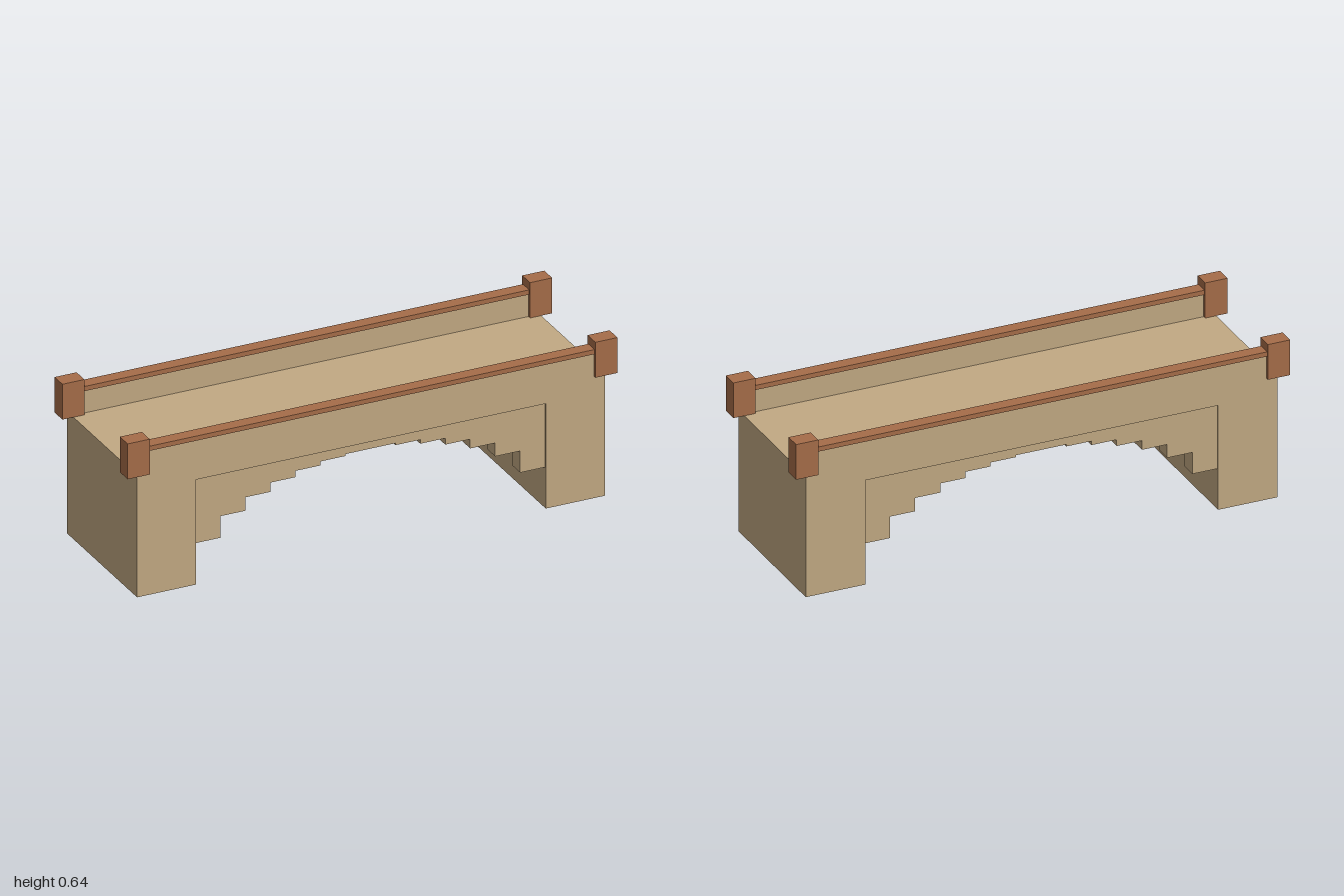
import * as THREE from 'three';

const stone = new THREE.MeshStandardMaterial({ color: 0xc2a983 });
stone.name = 'sandstone';
const brick = new THREE.MeshStandardMaterial({ color: 0xa66d49 });
brick.name = 'brown coping';

const HALF = 0.955;      // half length of the body
const DEPTH = 0.293;     // half width of the body
const OPENING = 0.714;   // half width of the opening
const DECK = 0.5;        // deck top
const SOFFIT = 0.43;     // deck underside
const WALL_Z = 0.2735;   // centre line of the parapets

export function createModel() {
  const bridge = new THREE.Group();
  bridge.name = 'bridge';

  // Box given by its lower and upper corners
  const box = (name, material, [x0, y0, z0], [x1, y1, z1], parent = bridge) => {
    const mesh = new THREE.Mesh(new THREE.BoxGeometry(x1 - x0, y1 - y0, z1 - z0), material);
    mesh.position.set((x0 + x1) / 2, (y0 + y1) / 2, (z0 + z1) / 2);
    mesh.name = name;
    parent.add(mesh);
  };

  // Deck and both piers as one portal-shaped block
  const profile = new THREE.Shape([
    [-HALF, 0], [-OPENING, 0], [-OPENING, SOFFIT], [OPENING, SOFFIT],
    [OPENING, 0], [HALF, 0], [HALF, DECK], [-HALF, DECK],
  ].map(([x, y]) => new THREE.Vector2(x, y)));
  const bodyGeometry = new THREE.ExtrudeGeometry(profile, { depth: DEPTH * 2, bevelEnabled: false });
  bodyGeometry.translate(0, 0, -DEPTH);
  const body = new THREE.Mesh(bodyGeometry, stone);
  body.name = 'deckAndPiers';
  bridge.add(body);

  for (const side of [1, -1]) {
    const label = side > 0 ? 'front' : 'back';
    const z = side * WALL_Z;

    // Stepped arch: a row of blocks hanging below the deck, following an ellipse
    const arch = new THREE.Group();
    arch.name = `${label}Arch`;
    bridge.add(arch);
    const count = 14;
    const width = (2 * OPENING) / count;
    const archZ = side * 0.255;
    for (let i = 0; i < count; i++) {
      const x = -OPENING + i * width;
      const bottom = 0.4 * Math.sqrt(1 - ((x + width / 2) / 0.73) ** 2);
      box('archBlock', stone, [x, bottom, archZ - 0.033], [x + width, SOFFIT, archZ + 0.033], arch);
    }

    // Parapet wall with its coping rail
    box(`${label}Parapet`, stone, [-HALF, DECK, z - 0.0195], [HALF, 0.593, z + 0.0195]);
    box(`${label}Rail`, brick, [-HALF, 0.593, z - 0.026], [HALF, 0.612, z + 0.026]);

    // End posts
    for (const end of [1, -1]) {
      const x = end * HALF;
      box(`${label}${end > 0 ? 'Left' : 'Right'}Post`, brick,
        [x - 0.045, DECK, z - 0.0325], [x + 0.045, 0.645, z + 0.0335]);
    }
  }
  return bridge;
}
